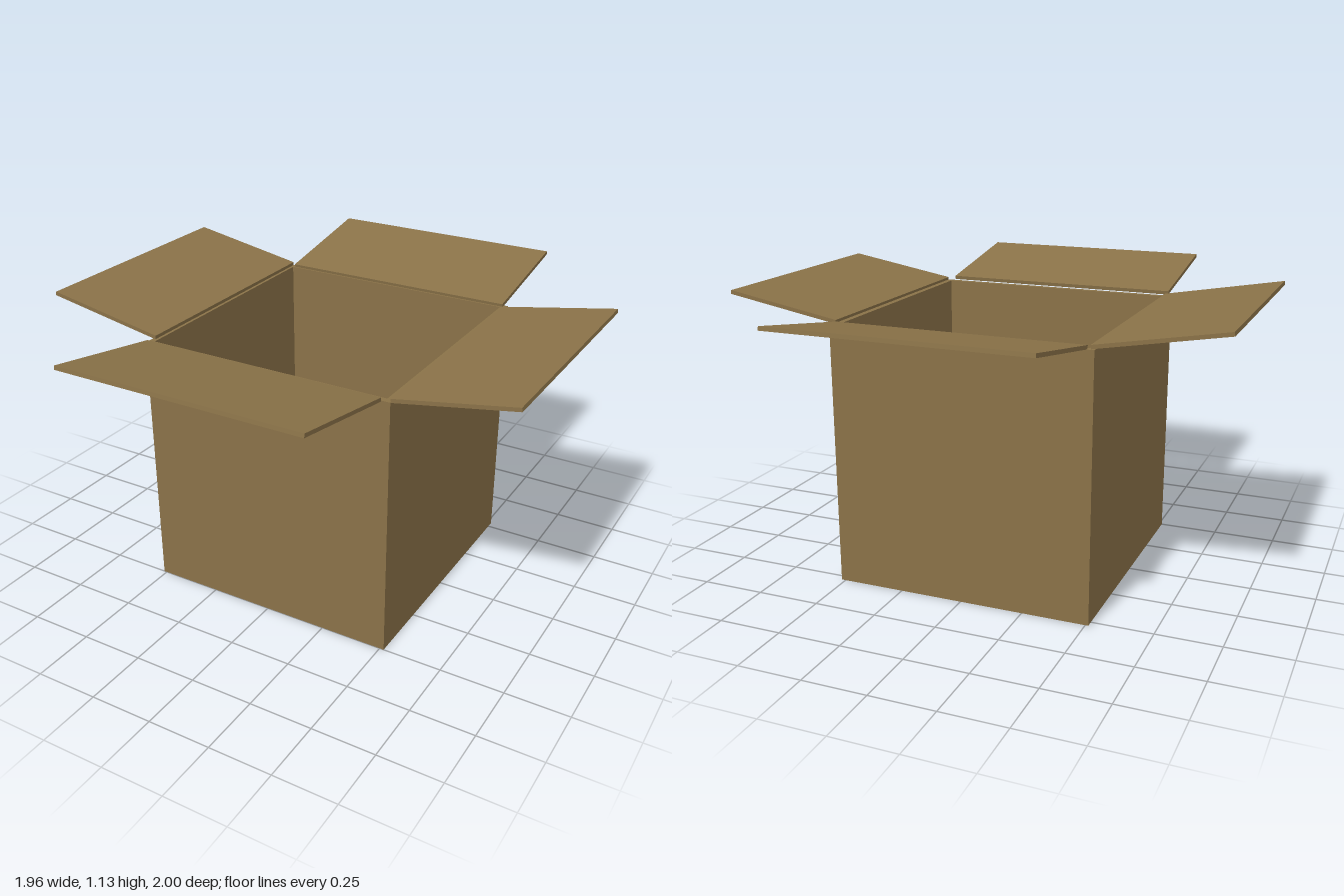
import * as THREE from 'three';

export function createModel() {
  const model = new THREE.Group();
  model.name = 'openCarton';
  const cardboard = new THREE.MeshStandardMaterial({ color: 0x8a7248 });
  cardboard.name = 'cardboard brown';

  // Box panel given by its lower and upper corners
  function panel(name, min, max) {
    const size = max.map((v, i) => v - min[i]);
    const mesh = new THREE.Mesh(new THREE.BoxGeometry(...size), cardboard);
    mesh.position.set(...max.map((v, i) => (v + min[i]) / 2));
    mesh.name = name;
    model.add(mesh);
  }

  // Floor and four walls
  const x0 = -0.512, x1 = 0.517, z0 = -0.53, z1 = 0.5, top = 1.03, t = 0.024;
  panel('floor', [x0 + t, 0, z0 + t], [x1 - t, 0.02, z1 - t]);
  panel('frontWall', [x0, 0, z1 - t], [x1, top, z1]);
  panel('backWall', [x0, 0, z0], [x1, top, z0 + t]);
  panel('leftWall', [x1 - t, 0, z0 + t], [x1, top, z1 - t]);
  panel('rightWall', [x0, 0, z0 + t], [x0 + t, top, z1 - t]);

  // Lid flap: reaches outward from its hinge and rises to its tip
  function flap(name, yaw, hinge, reach, rise, width) {
    const length = Math.hypot(reach, rise);
    const geometry = new THREE.BoxGeometry(length, 0.015, width);
    geometry.translate(length / 2, 0, 0);
    geometry.rotateZ(Math.atan2(rise, reach));
    geometry.rotateY(yaw);
    const mesh = new THREE.Mesh(geometry, cardboard);
    mesh.position.set(...hinge);
    mesh.name = name;
    model.add(mesh);
  }
  const width = 0.982;
  flap('leftFlap', 0, [0.515, 1.034, 0.003], 0.459, 0.08, width);
  flap('rightFlap', Math.PI, [-0.497, 1.038, -0.032], 0.482, 0.086, width);
  flap('backFlap', Math.PI / 2, [0.009, 1.034, -0.512], 0.487, 0.083, width);
  flap('frontFlap', -Math.PI / 2, [-0.004, 1.039, 0.51], 0.489, 0.085, width);

  return model;
}
